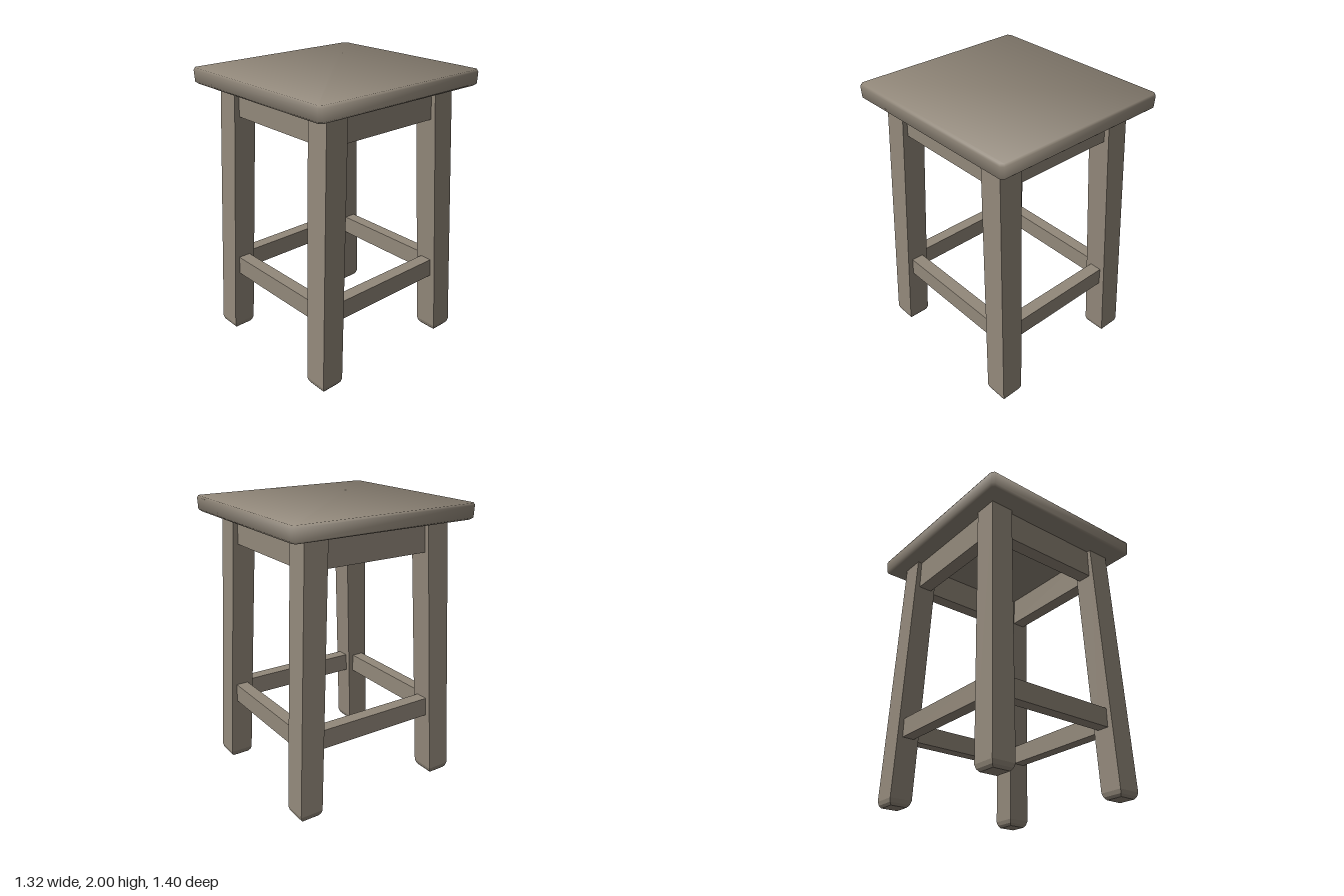
import * as THREE from 'three';

// Closed solid through horizontal rings (bottom to top); each ring is a list of [x, y, z],
// running counter-clockwise as seen from above.
function loft(rings) {
  const n = rings[0].length, last = (rings.length - 1) * n, index = [];
  for (let r = 0; r < rings.length - 1; r++) {
    for (let i = 0; i < n; i++) {
      const a = r * n + i, b = r * n + (i + 1) % n;
      index.push(a, b, b + n, a, b + n, a + n);
    }
  }
  for (let i = 1; i < n - 1; i++) {
    index.push(0, i + 1, i, last, last + i, last + i + 1);
  }
  const geometry = new THREE.BufferGeometry();
  geometry.setAttribute('position', new THREE.Float32BufferAttribute(rings.flat(2), 3));
  geometry.setIndex(index);
  return geometry;
}

// Rectangle with clipped corners
function clippedRing(y, hx, hz, c) {
  return [
    [hx - c, y, hz], [hx, y, hz - c], [hx, y, c - hz], [hx - c, y, -hz],
    [c - hx, y, -hz], [-hx, y, c - hz], [-hx, y, hz - c], [c - hx, y, hz],
  ];
}

// Seat slab with softened edges; normals lean outward for a cushioned, smooth look
function seatGeometry() {
  const hx = 0.662, hz = 0.7;
  // height, inset, outward lean, upward lean
  const profile = [
    [1.89, 0.02, 0.25, -1], [1.905, 0.003, 1, -0.4], [1.985, 0, 1, 0.35], [2, 0.007, 0.48, 1],
  ];
  const geometry = loft(profile.map(([y, inset]) => clippedRing(y, hx - inset, hz - inset, 0.018)));
  const position = geometry.attributes.position, normals = [], v = new THREE.Vector3();
  for (let i = 0; i < position.count; i++) {
    const [, , out, up] = profile[Math.floor(i / 8)];
    v.set(out * position.getX(i) / hx, up, out * position.getZ(i) / hz).normalize();
    normals.push(v.x, v.y, v.z);
  }
  geometry.setAttribute('normal', new THREE.Float32BufferAttribute(normals, 3));
  return geometry;
}

// Square leg splaying outward toward the floor, with a rounded-off foot
function legGeometry(sx, sz) {
  const half = 0.084, top = 1.895;
  const profile = [[0, 0.022], [0.018, 0.008], [0.045, 0], [top, 0]];
  const geometry = loft(profile.map(([y, inset]) => {
    const t = y / top, h = half - inset;
    const cx = sx * THREE.MathUtils.lerp(0.518, 0.465, t);
    const cz = sz * THREE.MathUtils.lerp(0.559, 0.471, t);
    return [[cx + h, y, cz + h], [cx + h, y, cz - h], [cx - h, y, cz - h], [cx - h, y, cz + h]];
  })).toNonIndexed();
  geometry.computeVertexNormals();
  return geometry;
}

export function createModel() {
  const wood = new THREE.MeshStandardMaterial({ color: 0x92887a });
  wood.name = 'weathered wood';
  const model = new THREE.Group();
  model.name = 'stool';

  const add = (name, geometry, x = 0, y = 0, z = 0) => {
    const mesh = new THREE.Mesh(geometry, wood);
    mesh.name = name;
    mesh.position.set(x, y, z);
    model.add(mesh);
  };

  add('seat', seatGeometry());

  // Legs
  for (const [sz, end] of [[1, 'front'], [-1, 'back']]) {
    for (const [sx, side] of [[1, 'Left'], [-1, 'Right']]) {
      add(`${end}${side}Leg`, legGeometry(sx, sz));
    }
  }

  // Aprons under the seat and stretchers near the floor, set into the legs
  const rails = [
    { name: 'Apron', y: 1.786, height: 0.212, thick: 0.1, x: 0.468, z: 0.476 },
    { name: 'Stretcher', y: 0.542, height: 0.135, thick: 0.09, x: 0.503, z: 0.534 },
  ];
  for (const { name, y, height, thick, x, z } of rails) {
    for (const s of [1, -1]) {
      add((s > 0 ? 'front' : 'back') + name, new THREE.BoxGeometry(2 * x - 0.06, height, thick), 0, y, s * z);
      add((s > 0 ? 'left' : 'right') + name, new THREE.BoxGeometry(thick, height, 2 * z - 0.06), s * x, y, 0);
    }
  }
  return model;
}
